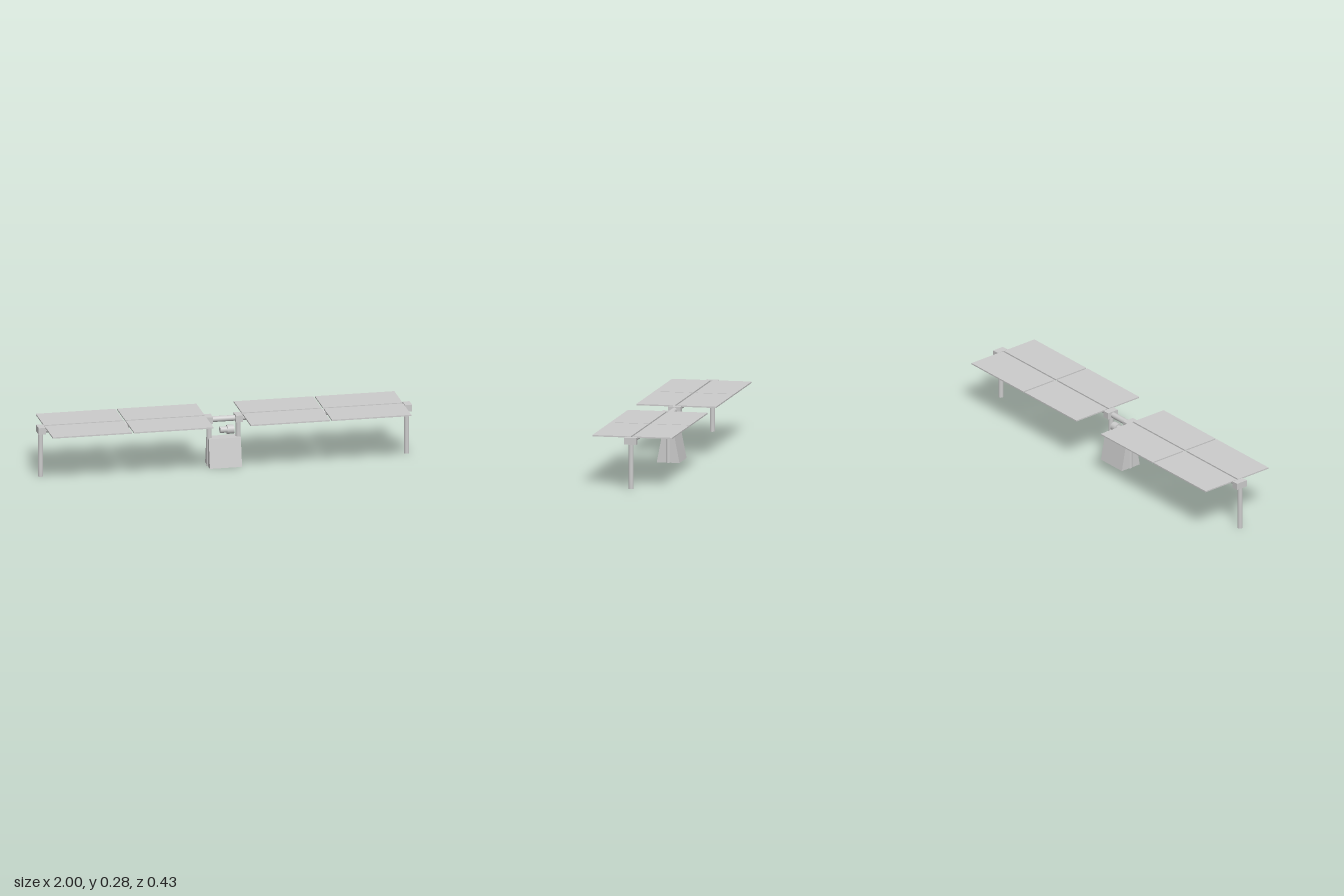
import * as THREE from 'three';

export function createModel() {
  const model = new THREE.Group();
  const material = new THREE.MeshStandardMaterial({ color: 0xcccccc });
  const AXIS_Z = 0.002, BEAM_Y = 0.253;

  const add = (name, geometry, x, y, z = AXIS_Z) => {
    const mesh = new THREE.Mesh(geometry, material);
    mesh.name = name;
    mesh.position.set(x, y, z);
    model.add(mesh);
    return mesh;
  };
  const rod = (radius, length) => new THREE.CylinderGeometry(radius, radius, length, 32);
  const rodX = (radius, length) => rod(radius, length).rotateZ(Math.PI / 2);
  const polygon = (points) => new THREE.Shape(points.map(([x, y]) => new THREE.Vector2(x, y)));
  const prism = (points, depth) =>
    new THREE.ExtrudeGeometry(polygon(points), { depth, bevelEnabled: false }).translate(0, 0, -depth / 2);

  // Rotating beam along the whole row
  add('torqueBeam', rodX(0.0155, 1.97), 0, BEAM_Y);

  // Posts with a bearing block on top: [post x, block x]
  for (const [postX, blockX] of [[-0.984, -0.981], [-0.081, -0.085], [0.075, 0.076], [0.977, 0.981]]) {
    add('post', rod(0.0135, 0.24), postX, 0.12);
    add('bearingBlock', new THREE.BoxGeometry(0.038, 0.036, 0.066), blockX, 0.255);
  }

  // Panels in front/back pairs, each carried by a flared bracket
  const bracket = prism([[-0.045, 0.008], [0.045, 0.008], [0.11, 0.168], [-0.11, 0.168]], 0.009)
    .rotateX(Math.PI / 2);
  const panel = new THREE.BoxGeometry(0.425, 0.007, 0.207);
  for (const x of [-0.75, -0.315, 0.31, 0.745]) {
    for (const side of [1, -1]) {
      add('panel', panel, x, 0.2715, side * 0.1105);
      add('panelBracket', bracket, x, 0.2635).rotation.y = side > 0 ? 0 : Math.PI;
    }
  }

  // Tapered base block between the two middle posts
  add('baseBlock', prism([[-0.061, 0], [0.061, 0], [0.031, 0.153], [-0.031, 0.153]], 0.172)
    .rotateY(-Math.PI / 2), -0.003, 0);

  // Drive motor above the base
  add('motorShaftHousing', rodX(0.017, 0.04), -0.003, 0.192);
  add('motorBody', rodX(0.024, 0.037), 0.032, 0.192);

  return model;
}
